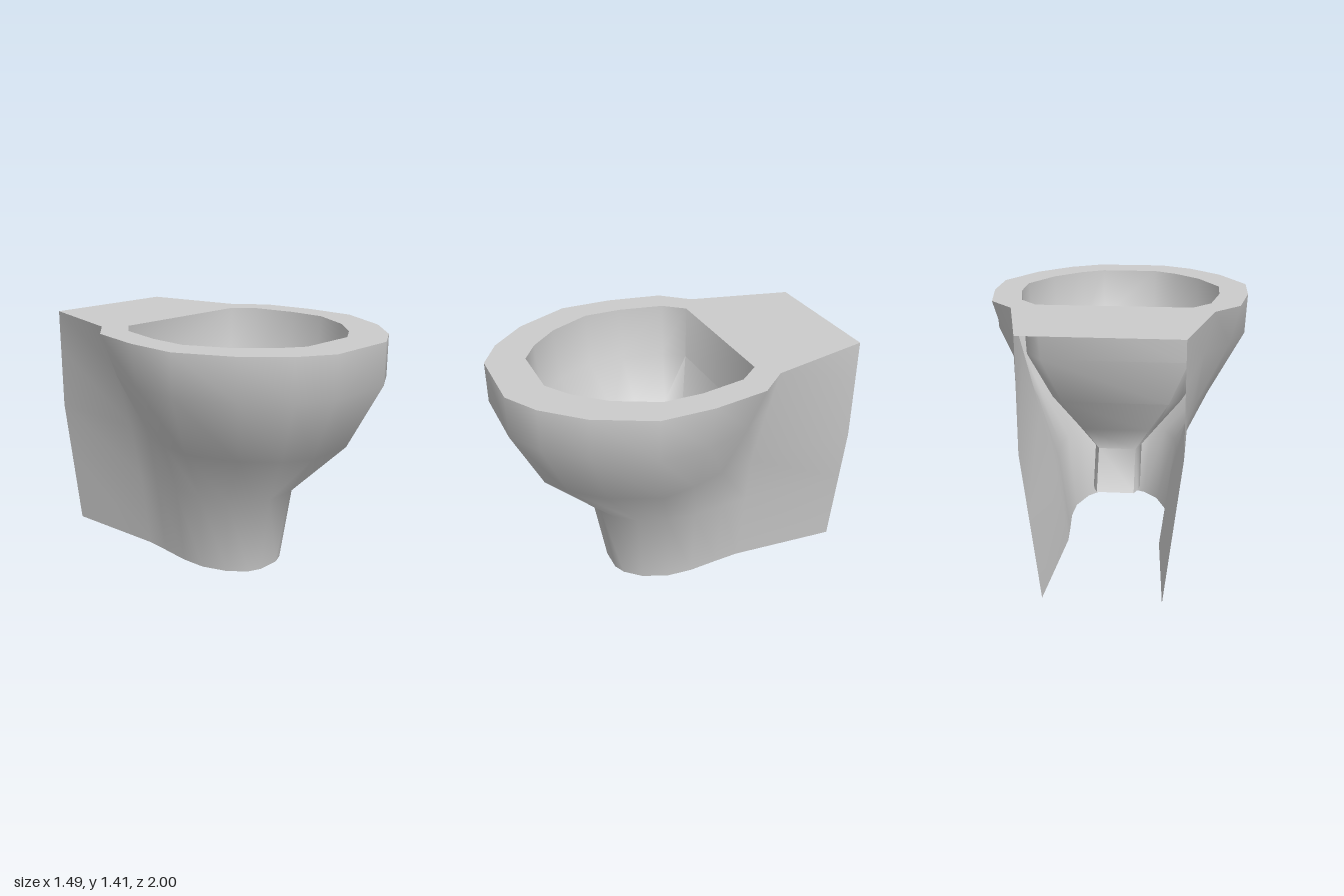
import * as THREE from 'three';
import { toCreasedNormals } from 'three/addons/utils/BufferGeometryUtils.js';

const TOP = 1.415;

// Half outlines [x, z] of the outer skin at each height, from the back to the front
const SKIN = [
  { y: TOP, half: [[0.41, -1], [0.55, -0.4], [0.69, -0.24], [0.745, 0.08], [0.745, 0.38], [0.59, 0.69], [0.4, 0.89], [0.21, 1]] },
  { y: 1.18, half: [[0.41, -1], [0.5, -0.37], [0.64, -0.17], [0.735, 0.1], [0.745, 0.38], [0.59, 0.69], [0.4, 0.89], [0.21, 1]] },
  { y: 0.81, half: [[0.41, -1], [0.42, -0.33], [0.465, -0.12], [0.53, 0.08], [0.56, 0.28], [0.44, 0.56], [0.29, 0.73], [0.15, 0.82]] },
  { y: 0.47, half: [[0.37, -1], [0.33, -0.36], [0.34, -0.2], [0.355, -0.01], [0.335, 0.16], [0.27, 0.32], [0.175, 0.43], [0.09, 0.48]] },
  { y: 0, half: [[0.315, -1], [0.27, -0.35], [0.28, -0.2], [0.295, -0.02], [0.285, 0.13], [0.225, 0.28], [0.14, 0.37], [0.07, 0.4]] },
];

// Half outlines of the bowl opening and of the throat, point for point
const OPENING = [[0.43, -0.31], [0.53, -0.19], [0.58, 0.07], [0.58, 0.29], [0.46, 0.53], [0.31, 0.69], [0.17, 0.78]];
const THROAT = [[0.11, -0.11], [0.13, -0.06], [0.14, 0], [0.11, 0.05], [0.08, 0.09], [0.05, 0.12], [0.03, 0.14]];
// Height, blend from opening to throat, and backward shift of the drain
const BOWL_STEPS = [[TOP, 0, 0], [1.1, 0.04, 0], [0.83, 0.38, 0], [0.64, 0.74, 0], [0.5, 1, 0], [0.27, 1, -0.13]];

const mirror = (half) => [...half, ...half.map(([x, z]) => [-x, z]).reverse()];

// Skin a stack of equal-length outlines
function loft(rows, { closed = false, inward = false, cap = false } = {}) {
  const n = rows[0].points.length;
  const positions = rows.flatMap(({ y, points }) => points.flatMap(([x, z]) => [x, y, z]));
  const index = [];
  const tri = (a, b, c) => index.push(...(inward ? [a, c, b] : [a, b, c]));
  for (let r = 0; r < rows.length - 1; r++) {
    for (let i = 0; i < (closed ? n : n - 1); i++) {
      const a = r * n + i, b = r * n + (i + 1) % n;
      tri(a, b, a + n);
      tri(b, b + n, a + n);
    }
  }
  if (cap) {
    const s = (rows.length - 1) * n;
    for (let i = 1; i < n - 1; i++) tri(s, s + i, s + i + 1);
  }
  const geometry = new THREE.BufferGeometry();
  geometry.setAttribute('position', new THREE.Float32BufferAttribute(positions, 3));
  geometry.setIndex(index);
  geometry.computeVertexNormals();
  return geometry;
}

export function createModel() {
  const group = new THREE.Group();
  group.name = 'toilet';
  const material = new THREE.MeshStandardMaterial({ color: 0xcccccc, side: THREE.DoubleSide });
  const add = (name, geometry) => {
    const mesh = new THREE.Mesh(geometry, material);
    mesh.name = name;
    group.add(mesh);
  };

  // Outer skin, open at the back and below
  add('pedestalShell', loft(SKIN.map(({ y, half }) => ({ y, points: mirror(half) }))));

  // Flat rim and rear shelf with the bowl opening cut out
  const toVectors = (half) => mirror(half).map(([x, z]) => new THREE.Vector2(x, -z));
  const rim = new THREE.Shape(toVectors(SKIN[0].half));
  rim.holes.push(new THREE.Path(toVectors(OPENING)));
  add('rim', new THREE.ShapeGeometry(rim).rotateX(-Math.PI / 2).translate(0, TOP, 0));

  // Bowl funnelling into a throat, with a closed drain running back under the rear wall
  const bowlRows = BOWL_STEPS.map(([y, t, shift]) => ({
    y,
    points: mirror(OPENING.map(([x, z], i) => [
      THREE.MathUtils.lerp(x, THROAT[i][0], t),
      THREE.MathUtils.lerp(z, THROAT[i][1], t) + shift,
    ])),
  }));
  add('bowl', toCreasedNormals(loft(bowlRows, { closed: true, inward: true, cap: true }), 0.95));

  return group;
}
